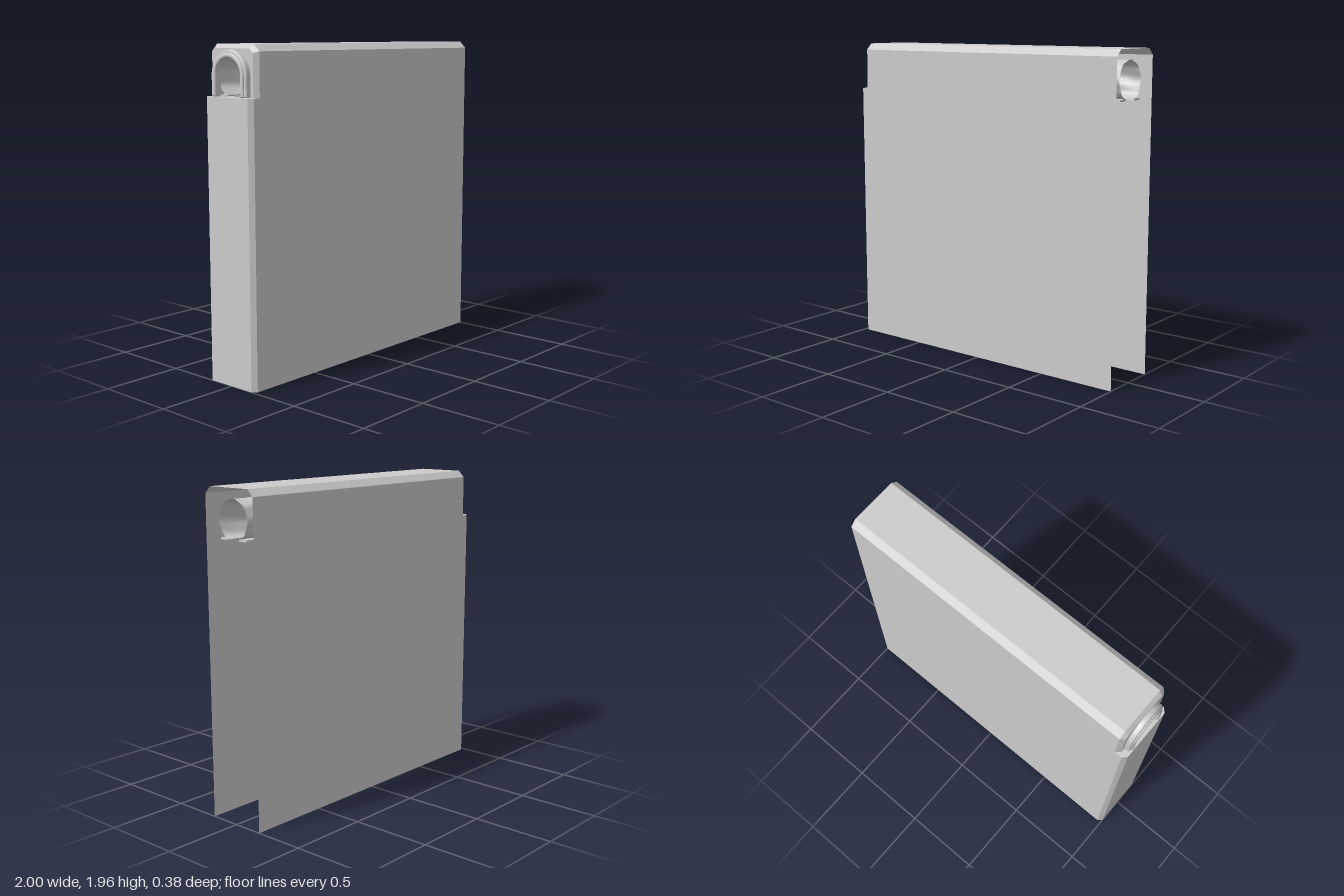
import * as THREE from 'three';
import { ParametricGeometry } from 'three/addons/geometries/ParametricGeometry.js';

const LEDGE = 1.66, ARCH_Y = 1.78;
const mat = new THREE.MeshStandardMaterial({ color: 0xcccccc, side: THREE.DoubleSide });

function add(group, name, geometry) {
  const mesh = new THREE.Mesh(geometry, mat);
  mesh.name = name;
  group.add(mesh);
  return mesh;
}

// Flat strip of quads joining two rows of points
function strip(rowA, rowB) {
  const pos = [];
  for (let i = 0; i < rowA.length - 1; i++) {
    const a = rowA[i], b = rowA[i + 1], c = rowB[i + 1], d = rowB[i];
    pos.push(...a, ...b, ...c, ...a, ...c, ...d);
  }
  const g = new THREE.BufferGeometry();
  g.setAttribute('position', new THREE.Float32BufferAttribute(pos, 3));
  g.computeVertexNormals();
  return g;
}

// Cross-section of the upper shell at a given x, running from +z over the roof to -z
const section = (x, w, eave, top, flat, base) => [
  [x, base, w], [x, eave, w], [x, top, flat],
  [x, top, -flat], [x, eave, -w], [x, base, -w],
];

// Round-headed arch band of given outer and inner radius
function archBand(outer, inner, base) {
  const s = new THREE.Shape();
  s.moveTo(-outer, base);
  s.lineTo(-outer, ARCH_Y);
  s.absarc(0, ARCH_Y, outer, Math.PI, 0, true);
  s.lineTo(outer, base);
  s.lineTo(inner, base);
  s.lineTo(inner, ARCH_Y);
  s.absarc(0, ARCH_Y, inner, 0, Math.PI, false);
  s.lineTo(-inner, base);
  s.closePath();
  return s;
}

export function createModel() {
  const model = new THREE.Group();
  model.name = 'wallWithTunnel';

  // Upper shell: sides, sloped eaves and roof, open at the +x end
  const upper = section(-0.93, 0.19, 1.915, 1.955, 0.15, LEDGE);
  add(model, 'upperShell', strip(section(1, 0.19, 1.915, 1.955, 0.15, LEDGE), upper));

  // Bevel leading into the recessed end face
  add(model, 'endBevel', strip(upper, section(-0.955, 0.165, 1.905, 1.93, 0.14, LEDGE)));

  // Lower shell: two long sides, chamfered corners and closed end
  const plan = [[1, 0.19], [-0.975, 0.19], [-1, 0.165], [-1, -0.165], [-0.975, -0.19], [1, -0.19]];
  add(model, 'lowerShell', strip(plan.map(([x, z]) => [x, 0, z]), plan.map(([x, z]) => [x, LEDGE, z])));

  // Ledge on top of the lower end
  add(model, 'ledge', strip(
    [[-0.93, LEDGE, 0.19], [-0.93, LEDGE, -0.19]],
    [[-0.975, LEDGE, 0.19], [-0.975, LEDGE, -0.19]]));
  add(model, 'ledgeLip', strip(
    [[-0.975, LEDGE, 0.19], [-0.975, LEDGE, -0.19]],
    [[-1, LEDGE, 0.165], [-1, LEDGE, -0.165]]));

  // Recessed end face with the arched opening
  const face = new THREE.Shape();
  face.moveTo(-0.165, LEDGE);
  face.lineTo(-0.165, 1.905);
  face.lineTo(-0.14, 1.93);
  face.lineTo(0.14, 1.93);
  face.lineTo(0.165, 1.905);
  face.lineTo(0.165, LEDGE);
  face.lineTo(0.105, LEDGE);
  face.lineTo(0.105, ARCH_Y);
  face.absarc(0, ARCH_Y, 0.105, 0, Math.PI, false);
  face.lineTo(-0.105, LEDGE);
  const faceGeo = new THREE.ShapeGeometry(face, 16).rotateY(-Math.PI / 2);
  add(model, 'endFace', faceGeo.translate(-0.955, 0, 0));

  // Two stepped, rounded mouldings around the opening
  const mouldings = [
    ['outerMoulding', 0.133, 0.122, 0.02],
    ['innerMoulding', 0.116, 0.11, 0.03],
  ];
  for (const [name, outer, inner, depth] of mouldings) {
    const g = new THREE.ExtrudeGeometry(archBand(outer, inner, LEDGE + 0.012), {
      depth, curveSegments: 16, bevelEnabled: true,
      bevelSize: 0.01, bevelThickness: 0.012, bevelSegments: 3,
    });
    add(model, name, g.rotateY(-Math.PI / 2).translate(-0.955, 0, 0));
  }

  // Uneven tunnel lining, open along the bottom, running the whole length
  const sweep = 1.28;
  const lining = new ParametricGeometry((u, v, target) => {
    const x = -0.955 + u * 1.925;
    const t = -sweep + v * (Math.PI + 2 * sweep);
    const ripple = 0.005 * Math.sin(3 * t + 9 * x) * Math.cos(5 * t - 14 * x);
    // rocky bulge on the -z side
    const bulge = 0.035 * Math.exp(-(((t - 3.5) / 0.35) ** 2) - ((x - 0.75) / 0.15) ** 2);
    const r = 0.116 + ripple - bulge;
    target.set(x, Math.max(LEDGE, 1.775 + r * Math.sin(t)), r * Math.cos(t));
  }, 60, 40);
  add(model, 'tunnelLining', lining);

  // Small feet along both lower edges of the lining
  for (const side of [1, -1]) {
    const foot = add(model, side > 0 ? 'leftFoot' : 'rightFoot', new THREE.BoxGeometry(1.925, 0.012, 0.06));
    foot.position.set(0.0075, LEDGE + 0.006, side * 0.075);
  }
  return model;
}
